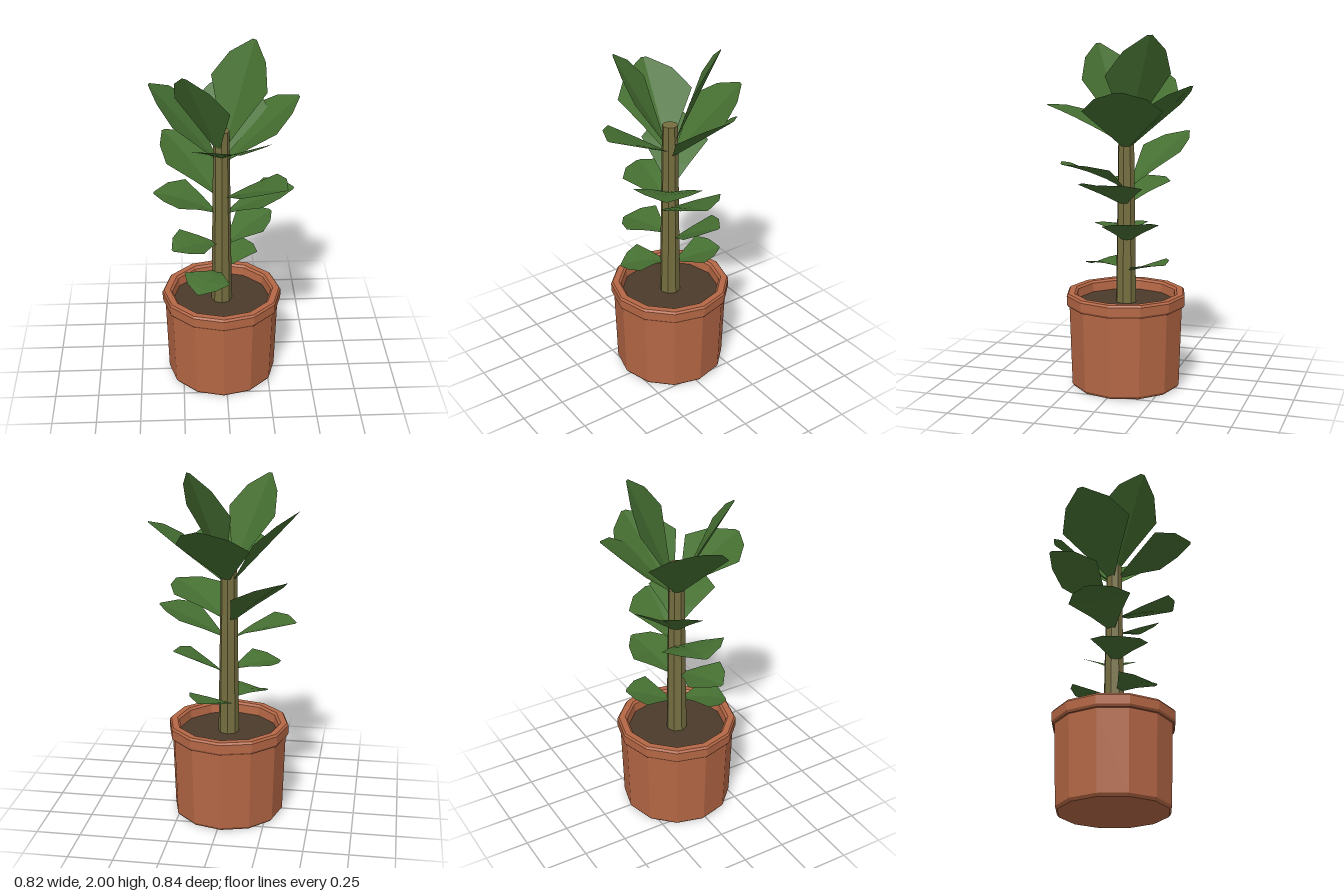
import * as THREE from 'three';

const CX = -0.02, CZ = -0.02; // axis of pot and trunk

const material = (name, color, extra = {}) => {
  const m = new THREE.MeshStandardMaterial({ color, ...extra });
  m.name = name;
  return m;
};

// split faces so every facet keeps a flat normal
function faceted(geometry) {
  const g = geometry.index ? geometry.toNonIndexed() : geometry;
  g.computeVertexNormals();
  return g;
}

// midrib station along the leaf, relative half width
const SECTIONS = [[0, 0.06], [0.28, 0.5], [0.58, 1], [0.83, 0.64], [1, 0.07]];

// folded leaf running from the trunk to a tip; dx, dz are measured from the trunk axis
function leafGeometry({ dx, dz, y0, y1, w, bend = 0, cup = 0.16 }) {
  const reach = Math.hypot(dx, dz);
  const out = new THREE.Vector3(dx / reach, 0, dz / reach);
  const up = new THREE.Vector3(0, 1, 0);
  const side = new THREE.Vector3().crossVectors(up, out);
  const rise = y1 - y0;
  const normal = out.clone().multiplyScalar(-rise).addScaledVector(up, reach).normalize();
  const start = 0.03;
  const rows = SECTIONS.map(([t, k]) => {
    const mid = out.clone().multiplyScalar(start + (reach - start) * t);
    mid.y = y0 + rise * t;
    mid.addScaledVector(normal, bend * 4 * t * (1 - t));
    const edge = (s) => mid.clone()
      .addScaledVector(side, s * w * k)
      .addScaledVector(normal, w * k * cup);
    return [edge(-1), mid, edge(1)];
  });
  const pts = [];
  for (let i = 0; i < rows.length - 1; i++) {
    const a = rows[i], b = rows[i + 1];
    pts.push(a[0], a[1], b[1], a[0], b[1], b[0]);
    pts.push(a[1], a[2], b[2], a[1], b[2], b[1]);
  }
  return faceted(new THREE.BufferGeometry().setFromPoints(pts));
}

// leaf tiers from the soil upwards
const LEAVES = [
  { dx: -0.14, dz: 0.25, y0: 0.68, y1: 0.66, w: 0.145, bend: 0.02 },
  { dx: 0.13, dz: -0.26, y0: 0.67, y1: 0.74, w: 0.15, bend: 0.005 },
  { dx: -0.28, dz: 0.13, y0: 0.86, y1: 0.88, w: 0.16, bend: 0.015 },
  { dx: 0.29, dz: -0.13, y0: 0.84, y1: 0.99, w: 0.16, bend: 0.01 },
  { dx: -0.38, dz: -0.04, y0: 1.05, y1: 1.16, w: 0.185, bend: 0.02 },
  { dx: 0.40, dz: 0.04, y0: 1.05, y1: 1.215, w: 0.19, bend: 0.01 },
  { dx: -0.32, dz: -0.28, y0: 1.15, y1: 1.44, w: 0.19, bend: 0.01 },
  { dx: 0.34, dz: 0.26, y0: 1.15, y1: 1.31, w: 0.19, bend: 0.015 },
  { dx: 0.08, dz: 0.44, y0: 1.40, y1: 1.605, w: 0.22, bend: 0.01 },
  { dx: 0.10, dz: -0.40, y0: 1.38, y1: 1.73, w: 0.215 },
  { dx: -0.39, dz: -0.09, y0: 1.38, y1: 1.79, w: 0.22 },
  { dx: 0.43, dz: -0.09, y0: 1.37, y1: 1.71, w: 0.22 },
  { dx: -0.20, dz: 0.23, y0: 1.44, y1: 1.94, w: 0.19 },
  { dx: 0.19, dz: -0.19, y0: 1.45, y1: 2.0, w: 0.205 },
];

export function createModel() {
  const terracotta = material('terracotta', 0xb56745);
  const soilBrown = material('soil brown', 0x4a3a2c);
  const barkOlive = material('bark olive', 0x756e40);
  const leafGreen = material('leaf green', 0x467032, { side: THREE.DoubleSide });

  const model = new THREE.Group();
  model.name = 'pottedPlant';
  const plant = new THREE.Group();
  plant.name = 'plant';
  plant.position.set(CX, 0, CZ);
  model.add(plant);

  const add = (name, geometry, mat, parent = plant) => {
    const mesh = new THREE.Mesh(geometry, mat);
    mesh.name = name;
    parent.add(mesh);
    return mesh;
  };

  // twelve-sided pot with chamfered foot and rolled rim
  const profile = [
    [0, 0], [0.303, 0], [0.315, 0.016], [0.329, 0.47], [0.337, 0.472],
    [0.345, 0.485], [0.345, 0.535], [0.336, 0.547], [0.3, 0.547],
    [0.288, 0.535], [0.28, 0.47],
  ].map(([r, y]) => new THREE.Vector2(r, y));
  add('pot', faceted(new THREE.LatheGeometry(profile, 12)), terracotta);

  // soil surface
  const soil = add('soil', new THREE.CircleGeometry(0.284, 12), soilBrown);
  soil.rotation.x = -Math.PI / 2;
  soil.position.y = 0.485;

  // tapered trunk, cut flat at the top
  const trunk = add('trunk', faceted(new THREE.CylinderGeometry(0.044, 0.06, 1.08, 8)), barkOlive);
  trunk.position.y = 1.01;

  // leaves in opposite pairs
  const foliage = new THREE.Group();
  foliage.name = 'foliage';
  plant.add(foliage);
  LEAVES.forEach((leaf, i) => add(`leaf${i + 1}`, leafGeometry(leaf), leafGreen, foliage));

  return model;
}
